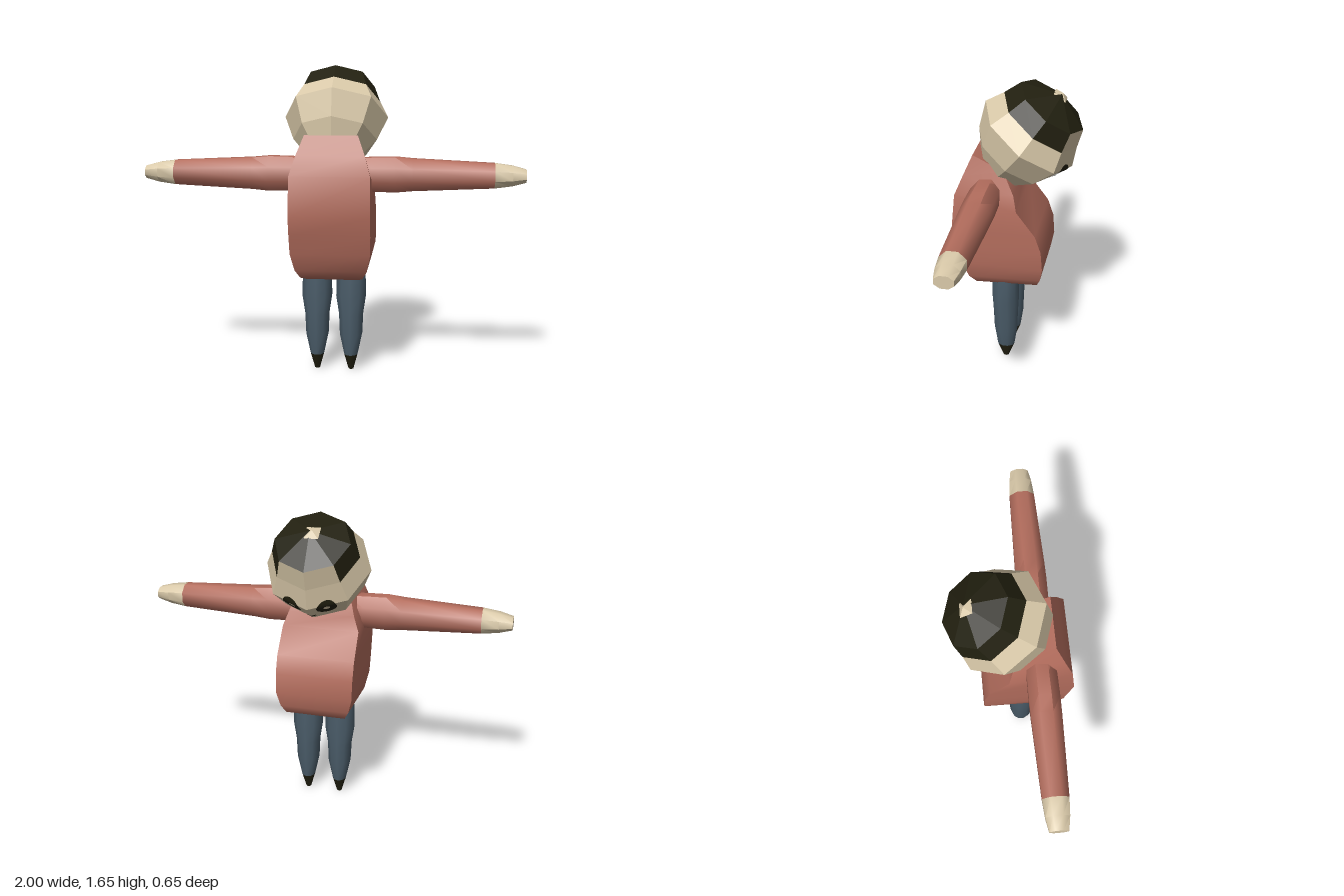
import * as THREE from 'three';
import { toCreasedNormals } from 'three/addons/utils/BufferGeometryUtils.js';

const V = (x, y, z) => new THREE.Vector3(x, y, z);

// Skin over a stack of equal-sized rings, closed at both ends
function loft(rings, crease = 0.85) {
  const n = rings[0].length, pos = [];
  const tri = (...pts) => pts.forEach((p) => pos.push(p.x, p.y, p.z));
  for (let i = 0; i < rings.length - 1; i++) {
    for (let j = 0; j < n; j++) {
      const k = (j + 1) % n;
      tri(rings[i][j], rings[i][k], rings[i + 1][k]);
      tri(rings[i][j], rings[i + 1][k], rings[i + 1][j]);
    }
  }
  const low = rings[0], high = rings[rings.length - 1];
  for (let j = 1; j < n - 1; j++) {
    tri(low[0], low[j + 1], low[j]);
    tri(high[0], high[j], high[j + 1]);
  }
  const geo = new THREE.BufferGeometry();
  geo.setAttribute('position', new THREE.Float32BufferAttribute(pos, 3));
  return toCreasedNormals(geo, crease);
}

// Limb along y from rows of [height, x radius, z radius]
function limb(rows, sides) {
  return loft(rows.map(([y, rx, rz]) => Array.from({ length: sides }, (_, j) => {
    const a = (j + 0.5) / sides * Math.PI * 2;
    return V(Math.cos(a) * rx, y, -Math.sin(a) * rz);
  })));
}

// Faceted turned form
function facets(profile, sides, start = 0, length = Math.PI * 2) {
  const pts = profile.map(([r, y]) => new THREE.Vector2(r, y));
  const geo = new THREE.LatheGeometry(pts, sides, start, length).toNonIndexed();
  geo.computeVertexNormals();
  return geo;
}

// Lay a flat shape just above the two front facets of the head
function layOnFace(geo) {
  const p = geo.attributes.position, h = Math.PI / 8;
  for (let i = 0; i < p.count; i++) {
    const x = Math.abs(p.getX(i)), y = p.getY(i);
    const r = 0.28 - (y > 0 ? 0.47 * y : -0.39 * y);
    p.setZ(i, (r * Math.cos(h) + 0.005 - x * Math.sin(h)) / Math.cos(h));
  }
  geo.computeVertexNormals();
  return geo;
}

export function createModel() {
  const model = new THREE.Group();
  model.name = 'figure';
  const paint = (name, color) => {
    const m = new THREE.MeshStandardMaterial({ color });
    m.name = name;
    return m;
  };
  const coat = paint('coat red', 0xb36d5d);
  const skin = paint('skin', 0xd9c9a9);
  const dark = paint('hair black', 0x222010);
  const cloth = paint('trouser blue', 0x4b5d6a);
  const add = (name, geo, mat, parent = model) => {
    const mesh = new THREE.Mesh(geo, mat);
    mesh.name = name;
    parent.add(mesh);
    return mesh;
  };

  // Coat: [+z edge z, y, -z edge z, y, half width], bottom to top
  const coatRows = [
    [0.17, 0.525, -0.08, 0.54, 0.14],
    [0.21, 0.54, -0.125, 0.555, 0.165],
    [0.245, 0.585, -0.145, 0.6, 0.19],
    [0.28, 0.68, -0.16, 0.68, 0.21],
    [0.302, 0.78, -0.152, 0.79, 0.212],
    [0.327, 0.885, -0.12, 0.885, 0.212],
    [0.306, 1.09, -0.02, 1.02, 0.21],
    [0.265, 1.19, 0, 1.1, 0.18],
    [0.22, 1.295, 0.06, 1.215, 0.14],
  ];
  add('coat', loft(coatRows.map(([zf, yf, zb, yb, w]) =>
    [V(w, yf, zf), V(w, yb, zb), V(-w, yb, zb), V(-w, yf, zf)])), coat);

  for (const s of [1, -1]) {
    const side = s > 0 ? 'left' : 'right';

    // Arm stretched sideways
    const arm = new THREE.Group();
    arm.name = side + 'Arm';
    arm.position.set(0, 1.09, 0.147);
    arm.rotation.z = -s * Math.PI / 2;
    model.add(arm);
    add(side + 'Sleeve', limb([[0.12, 0.09, 0.08], [0.21, 0.096, 0.084], [0.33, 0.099, 0.086],
      [0.42, 0.09, 0.085], [0.84, 0.069, 0.072]], 8), coat, arm);
    add(side + 'Hand', limb([[0.84, 0.069, 0.072], [0.93, 0.056, 0.065], [1, 0.036, 0.052]], 8), skin, arm);

    // Leg and pointed boot
    const leg = new THREE.Group();
    leg.name = side + 'Leg';
    leg.position.set(s * 0.093, 0, 0.063);
    model.add(leg);
    add(side + 'Trouser', limb([[0.085, 0.038, 0.049], [0.2, 0.063, 0.066], [0.315, 0.068, 0.07],
      [0.417, 0.084, 0.076], [0.6, 0.078, 0.074]], 10), cloth, leg);
    add(side + 'Boot', limb([[0, 0.014, 0.016], [0.085, 0.038, 0.049]], 10), dark, leg);
  }

  // Head tipped toward -z, with its face on local +z
  const head = new THREE.Group();
  head.name = 'head';
  head.position.set(0, 1.375, -0.05);
  head.rotation.set(-0.628, Math.PI, 0);
  model.add(head);
  const q = Math.PI / 4;
  add('face', facets([[0, -0.265], [0.14, -0.245], [0.225, -0.14], [0.28, 0], [0.233, 0.1]], 8), skin, head);
  add('forehead', facets([[0.233, 0.1], [0.198, 0.199]], 2, -q, 2 * q), skin, head);
  add('hairSides', facets([[0.233, 0.1], [0.198, 0.199]], 6, q, 6 * q), dark, head);
  add('hairTop', facets([[0.198, 0.199], [0, 0.281]], 8), dark, head);
  add('crownPatch', facets([[0.052, 0.265], [0, 0.286]], 4, q), skin, head).position.x = 0.012;

  // Ringed eyes, mouth and brow mark
  for (const s of [1, -1]) {
    const eye = new THREE.RingGeometry(0.017, 0.052, 20, 3);
    eye.scale(0.95, 1.1, 1).rotateZ(s * -0.3).translate(s * 0.092, -0.025, 0);
    add(s > 0 ? 'rightEye' : 'leftEye', layOnFace(eye), dark, head);
  }
  const mouth = new THREE.PlaneGeometry(0.05, 0.014, 4, 1).translate(0, -0.1, 0);
  add('mouth', layOnFace(mouth), dark, head);
  const brow = new THREE.PlaneGeometry(0.03, 0.008, 2, 1).translate(0, 0.165, 0);
  add('browMark', layOnFace(brow), dark, head);

  return model;
}
